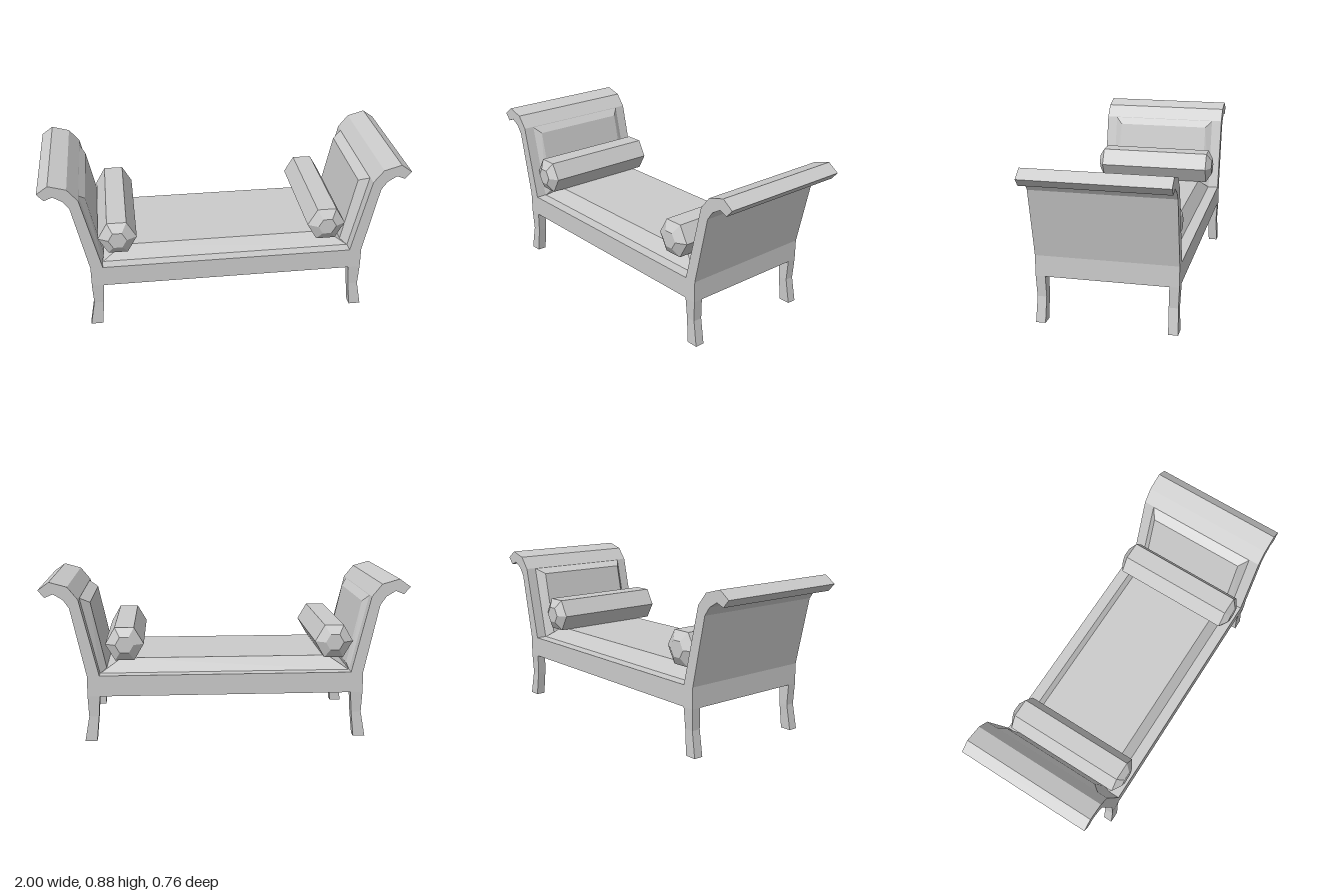
import * as THREE from 'three';
import { ConvexGeometry } from 'three/addons/geometries/ConvexGeometry.js';

const DEPTH = 0.76;
const material = new THREE.MeshStandardMaterial({ color: 0xcccccc, flatShading: true });

function addMesh(group, name, geometry) {
  const mesh = new THREE.Mesh(geometry, material);
  mesh.name = name;
  group.add(mesh);
  return mesh;
}

// Frame: one outline with both scrolled arms, extruded front to back
function frameGeometry() {
  const half = [
    [0.757, 0.255], [0.757, 0.37], [0.838, 0.745], [0.87, 0.79], [0.92, 0.82],
    [0.965, 0.802], [1, 0.842], [0.94, 0.885], [0.845, 0.858], [0.79, 0.79], [0.69, 0.37],
  ];
  const mirrored = half.map(([x, y]) => [-x, y]).reverse();
  const shape = new THREE.Shape([...half, ...mirrored].map(([x, y]) => new THREE.Vector2(x, y)));
  return new THREE.ExtrudeGeometry(shape, { depth: DEPTH, bevelEnabled: false })
    .translate(0, 0, -DEPTH / 2);
}

// Leg: a box with three levels, each with its own x and z range
function legGeometry(sideX, sideZ) {
  const levels = [
    { y: 0, x: [0.712, 0.777], z: [0.328, 0.38] },
    { y: 0.14, x: [0.698, 0.752], z: [0.325, 0.375] },
    { y: 0.256, x: [0.69, 0.757], z: [0.328, 0.38] },
  ];
  const geometry = new THREE.BoxGeometry(2, 2, 2, 1, 2, 1);
  const p = geometry.attributes.position;
  for (let i = 0; i < p.count; i++) {
    const { y, x, z } = levels[Math.round(p.getY(i)) + 1];
    p.setXYZ(i,
      sideX * x[p.getX(i) * sideX > 0 ? 1 : 0], y,
      sideZ * z[p.getZ(i) * sideZ > 0 ? 1 : 0]);
  }
  return geometry;
}

// Bevelled pad: each edge is a line [x, y, halfWidth] spanning the depth
function padGeometry(edges) {
  return new ConvexGeometry(edges.flatMap(([x, y, z]) => [
    new THREE.Vector3(x, y, z), new THREE.Vector3(x, y, -z),
  ]));
}

// Bolster: six-sided roll with chamfered ends
function bolsterGeometry() {
  const profile = [[0, -0.366], [0.05, -0.366], [0.105, -0.334], [0.105, 0.334], [0.05, 0.366], [0, 0.366]];
  return new THREE.LatheGeometry(profile.map(([r, y]) => new THREE.Vector2(r, y)), 6, Math.PI / 2)
    .rotateX(Math.PI / 2);
}

export function createModel() {
  const model = new THREE.Group();
  model.name = 'bench';
  addMesh(model, 'frame', frameGeometry());

  for (const x of [1, -1]) {
    for (const z of [1, -1]) {
      const name = (z > 0 ? 'front' : 'back') + (x > 0 ? 'Left' : 'Right') + 'Leg';
      addMesh(model, name, legGeometry(x, z));
    }
  }

  addMesh(model, 'seatCushion', padGeometry([
    [-0.69, 0.368, 0.32], [0.69, 0.368, 0.32], [-0.575, 0.442, 0.27], [0.575, 0.442, 0.27],
  ]));

  // The left arm pad is thicker than the right one
  addMesh(model, 'leftArmPad', padGeometry([
    [0.788, 0.788, 0.32], [0.69, 0.37, 0.32], [0.735, 0.758, 0.28], [0.652, 0.375, 0.28],
  ]));
  addMesh(model, 'rightArmPad', padGeometry([
    [-0.79, 0.788, 0.32], [-0.69, 0.37, 0.32], [-0.757, 0.75, 0.28], [-0.68, 0.4, 0.28],
  ]));

  for (const [name, x] of [['leftBolster', 0.553], ['rightBolster', -0.601]]) {
    addMesh(model, name, bolsterGeometry()).position.set(x, 0.533, 0.013);
  }
  return model;
}
